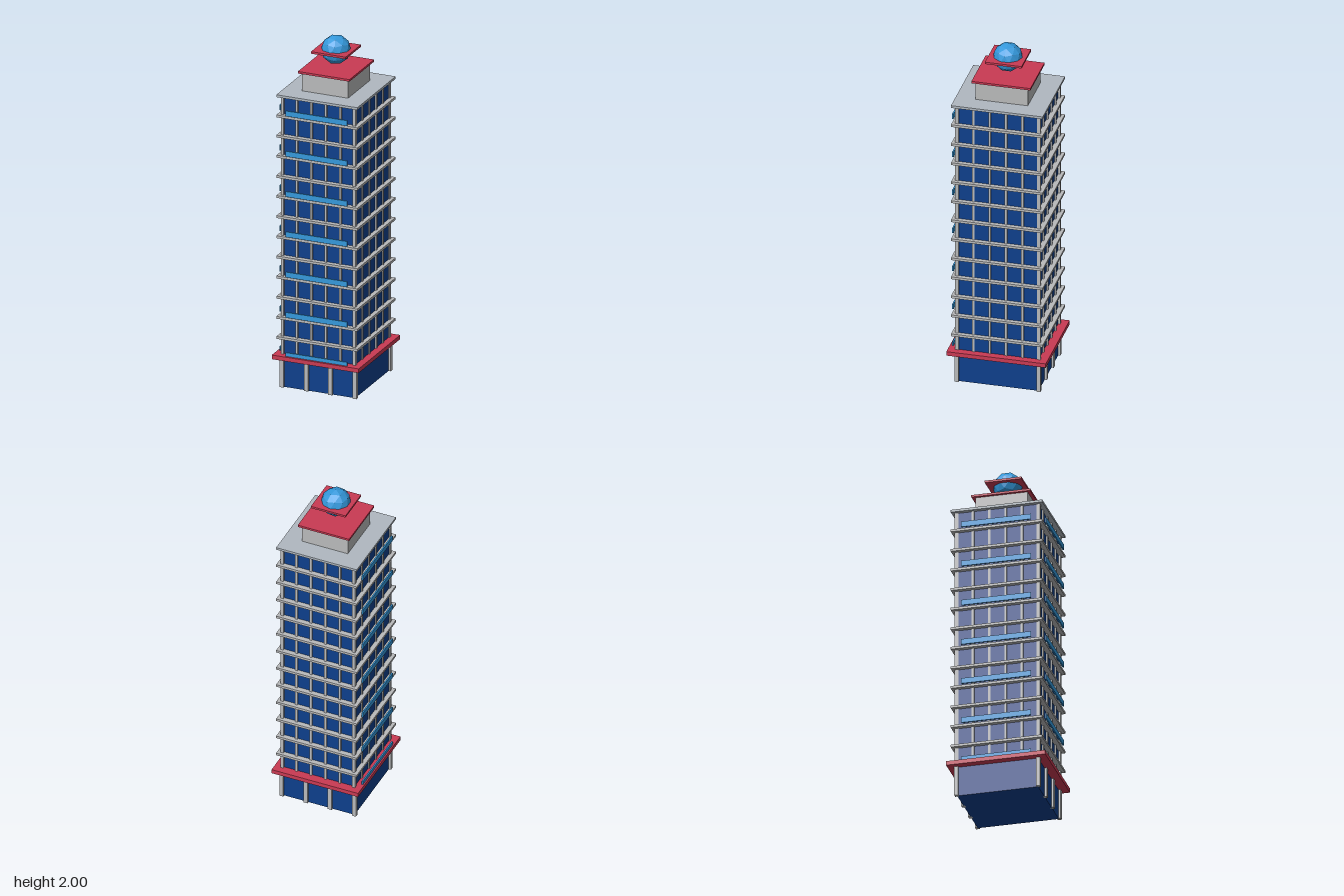
import * as THREE from 'three';

const mat = (name, color) => {
  const m = new THREE.MeshStandardMaterial({ color });
  m.name = name;
  return m;
};

export function createModel() {
  const glass = mat('dark blue glass', 0x0d3f8c);
  const concrete = mat('concrete grey', 0xb9babb);
  const roofGrey = mat('roof grey', 0xb0b8c0);
  const red = mat('red trim', 0xc93a53);
  const sky = mat('light blue', 0x3498db);

  const model = new THREE.Group();
  model.name = 'officeTower';

  // Box from its full sizes, standing on the given y
  const box = (name, material, w, h, d, x, y, z, parent = model) => {
    const m = new THREE.Mesh(new THREE.BoxGeometry(w, h, d), material);
    m.name = name;
    m.position.set(x, y + h / 2, z);
    parent.add(m);
    return m;
  };
  const group = (name) => {
    const g = new THREE.Group();
    g.name = name;
    model.add(g);
    return g;
  };

  const roofY = 1.692, floorStep = 0.1173, HX = 0.215, HZ = 0.23;

  // Glazed core, lobby and tower in one
  box('glassCore', glass, HX * 2, roofY, HZ * 2 - 0.004, 0, 0, 0);

  // Lobby posts: corners, plus two on the front and back
  const lobby = group('lobbyPosts');
  for (const sz of [-1, 1]) {
    for (const sx of [-1, 1]) {
      box('cornerPost', concrete, 0.022, 0.172, 0.022, sx * 0.217, 0, sz * 0.23, lobby);
      box('lobbyPost', concrete, 0.024, 0.172, 0.022, sx * 0.072, 0, sz * 0.23, lobby);
    }
  }

  // Red canopy above the lobby
  box('canopy', red, 0.516, 0.024, 0.558, 0, 0.171, 0);

  // Tower mullions, five bays on each face
  const mullions = group('mullions');
  const mullionH = roofY - 0.19;
  for (const s of [-1, 1]) {
    for (let i = 0; i <= 5; i++) {
      const t = i / 2.5 - 1;
      box('mullion', concrete, 0.013, mullionH, 0.014, t * HX, 0.19, s * HZ, mullions);
      if (i > 0 && i < 5)
        box('mullion', concrete, 0.014, mullionH, 0.013, s * HX, 0.19, t * HZ, mullions);
    }
    for (const sz of [-1, 1])
      box('cornerMullion', concrete, 0.016, mullionH, 0.02, s * 0.213, 0.19, sz * 0.23, mullions);
  }

  // Floor slabs and roof slab
  const floors = group('floorSlabs');
  for (let i = 1; i <= 12; i++)
    box('floorSlab', concrete, 0.481, 0.014, 0.515, 0, roofY - i * floorStep, 0, floors);
  box('roofSlab', roofGrey, 0.481, 0.014, 0.515, 0, roofY, 0);

  // Balcony fronts on every second floor, on the front and the right side
  const balconies = group('balconies');
  for (let i = 0; i < 7; i++) {
    const y = 1.593 - i * floorStep * 2;
    box('frontBalcony', sky, 0.365, 0.031, 0.008, 0, y, 0.262, balconies);
    box('sideBalcony', sky, 0.008, 0.031, 0.392, -0.246, y, 0, balconies);
  }

  // Rooftop plant room with its red cap
  box('plantRoom', concrete, 0.274, 0.108, 0.294, 0, 1.704, 0);
  box('plantRoomCap', red, 0.306, 0.012, 0.331, 0, 1.811, 0);

  // Faceted globe with a pole at the top, and the red plate through it
  const ball = new THREE.IcosahedronGeometry(0.082, 1);
  ball.rotateX(-Math.atan((1 + Math.sqrt(5)) / 2));
  ball.rotateY(Math.PI / 2);
  ball.computeVertexNormals();
  sky.flatShading = true;
  const globe = new THREE.Mesh(ball, sky);
  globe.name = 'globe';
  globe.position.y = 1.918;
  model.add(globe);
  box('globePlate', red, 0.206, 0.012, 0.206, 0, 1.912, 0);

  return model;
}
